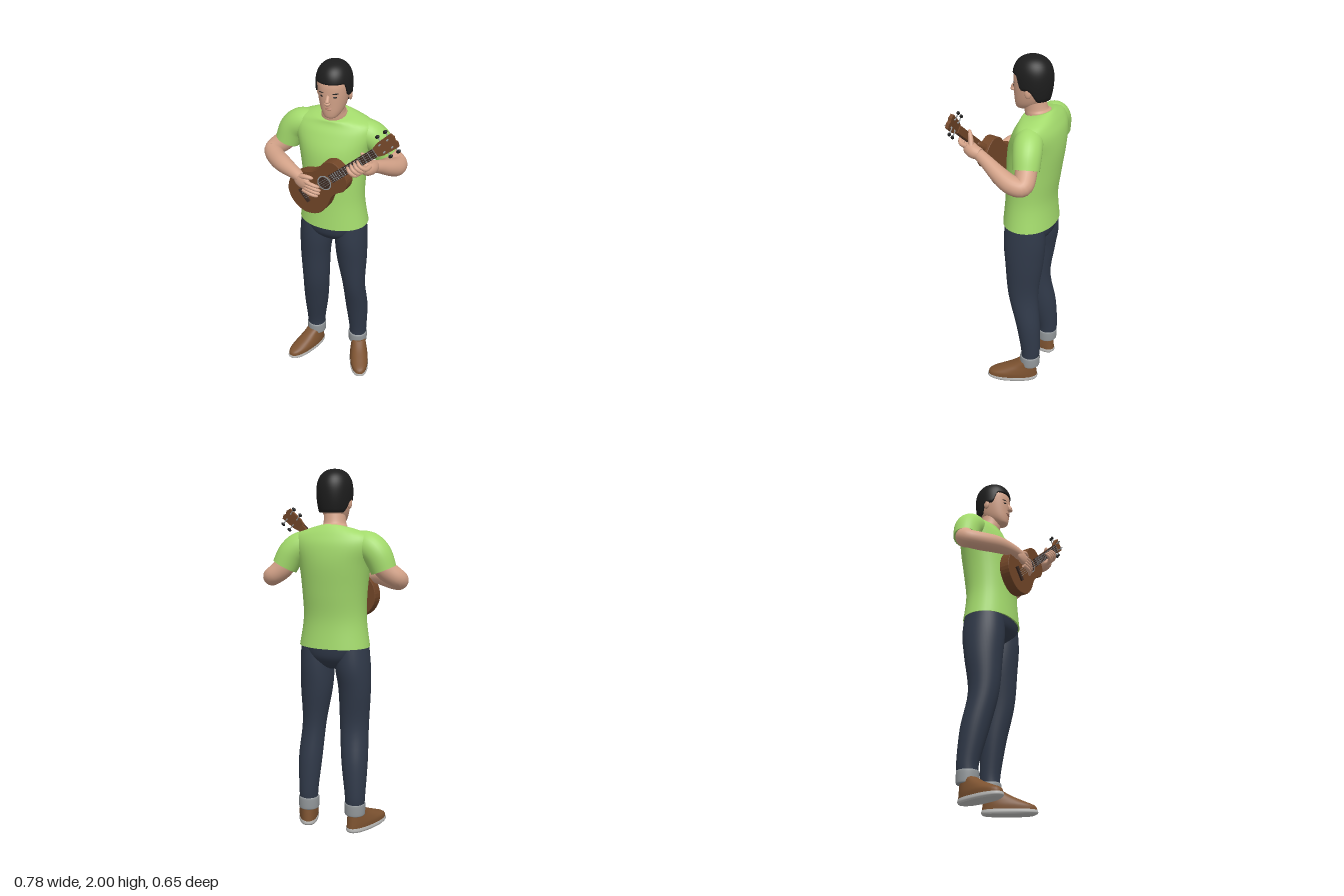
import * as THREE from 'three';

const paint = (name, color) => {
  const m = new THREE.MeshStandardMaterial({ color });
  m.name = name;
  return m;
};

// Catmull-Rom subdivision of equally long rows of numbers
function smooth(rows, per = 5) {
  const out = [], last = rows.length - 1;
  for (let i = 0; i < last; i++) {
    const [p, q, r, s] = [rows[Math.max(i - 1, 0)], rows[i], rows[i + 1], rows[Math.min(i + 2, last)]];
    for (let k = 0; k < per; k++) {
      const t = k / per;
      out.push(q.map((b, c) => b + 0.5 * t * (r[c] - p[c] + t * (2 * p[c] - 5 * b + 4 * r[c] - s[c] + t * (3 * (b - r[c]) + s[c] - p[c])))));
    }
  }
  out.push(rows[last]);
  return out;
}

// Skins a list of rings (arrays of Vector3) and caps both ends
function skin(rings) {
  const pos = [], idx = [], n = rings[0].length;
  rings.forEach(r => r.forEach(v => pos.push(v.x, v.y, v.z)));
  for (let i = 0; i < rings.length - 1; i++) for (let j = 0; j < n; j++) {
    const a = i * n + j, b = i * n + (j + 1) % n;
    idx.push(a, a + n, b, b, a + n, b + n);
  }
  [rings[0], rings[rings.length - 1]].forEach((ring, end) => {
    const base = pos.length / 3, c = new THREE.Vector3();
    ring.forEach(v => { pos.push(v.x, v.y, v.z); c.addScaledVector(v, 1 / n); });
    pos.push(c.x, c.y, c.z);
    for (let j = 0; j < n; j++) {
      const k = (j + 1) % n;
      idx.push(base + n, base + (end ? k : j), base + (end ? j : k));
    }
  });
  const g = new THREE.BufferGeometry();
  g.setAttribute('position', new THREE.Float32BufferAttribute(pos, 3));
  g.setIndex(idx);
  g.computeVertexNormals();
  return g;
}

// Stacked ellipses, bottom to top: [x, y, z, half width, half depth, yaw, forward tilt]
function loft(rows, power = 2, seg = 36) {
  const bend = v => Math.sign(v) * Math.abs(v) ** (2 / power);
  const full = rows.map(([x, y, z, a, b, yaw = 0, tilt = 0]) => [x, y, z, a, b, yaw, tilt]);
  return skin(smooth(full).map(([x, y, z, a, b, yaw, tilt]) => Array.from({ length: seg }, (_, j) => {
    const f = j / seg * Math.PI * 2, u = a * bend(Math.cos(f)), w = b * bend(Math.sin(f));
    return new THREE.Vector3(x + u * Math.cos(yaw) - w * Math.sin(yaw), y - w * tilt, z + u * Math.sin(yaw) + w * Math.cos(yaw));
  })));
}

// Round limb along [x, y, z, radius] points; tip rounds off the far end
function limb(points, tip = false, seg = 16) {
  const rows = smooth(points, 6), at = i => new THREE.Vector3(...rows[Math.min(Math.max(i, 0), rows.length - 1)].slice(0, 3));
  const N = new THREE.Vector3(0.31, 0.52, 0.79);
  return skin(rows.map((row, i) => {
    const T = at(i + 1).sub(at(i - 1)).normalize();
    N.addScaledVector(T, -N.dot(T)).normalize();
    const B = T.clone().cross(N), e = Math.max(0, (i / (rows.length - 1) - 0.75) / 0.25);
    const r = row[3] * (tip ? Math.sqrt(Math.max(0.01, 1 - e * e)) : 1);
    return Array.from({ length: seg }, (_, j) => {
      const f = j / seg * Math.PI * 2;
      return at(i).addScaledVector(N, r * Math.cos(f)).addScaledVector(B, -r * Math.sin(f));
    });
  }));
}

// Short-hair cap: level over the forehead, sideburns at the temples, low at the nape
function hairCap() {
  const rings = [], seg = 64;
  for (let i = 0; i <= 19; i++) {
    const t = Math.min(1, Math.max(0.02, (19 - i) / 18));
    rings.push(Array.from({ length: seg }, (_, j) => {
      const f = j / seg * Math.PI * 2, front = Math.sin(f);
      const edge = 1.835 + 0.072 * THREE.MathUtils.smoothstep(front, 0.3, 0.62) - 0.062 * THREE.MathUtils.smoothstep(-front, 0.1, 0.6);
      const y = 2 - (2 - edge) * (1 - Math.cos(t * Math.PI / 2));
      const d = (y - 1.88) / 0.12;
      const r = (d > 0 ? Math.max(0, 1 - d ** 2.4) ** (1 / 2.3) : 1 - 0.17 * d * d) * (i === 0 ? 0.86 : 1);
      return new THREE.Vector3(0.097 * r * Math.cos(f), y, 0.109 * r * front);
    }));
  }
  return skin(rings);
}

export function createModel() {
  const shirt = paint('shirt green', 0xa3da6c), denim = paint('denim', 0x303949), grey = paint('grey', 0x92979a),
    leather = paint('brown leather', 0x7c5230), sole = paint('sole', 0xbcbcba), flesh = paint('skin', 0xd4a389),
    black = paint('black hair', 0x1d1d1d), wood = paint('ukulele wood', 0x724628), dark = paint('dark wood', 0x3f2c24),
    lip = paint('lips', 0xb5806c);
  const model = new THREE.Group();
  const group = (name, parent = model) => {
    const g = new THREE.Group();
    g.name = name;
    parent.add(g);
    return g;
  };
  const add = (parent, name, geo, mat, x = 0, y = 0, z = 0) => {
    const m = new THREE.Mesh(geo, mat);
    m.name = name;
    m.position.set(x, y, z);
    parent.add(m);
    return m;
  };
  const box = (w, h, d) => new THREE.BoxGeometry(w, h, d);
  const ball = (a, b, c) => new THREE.SphereGeometry(1, 20, 14).scale(a, b, c);

  // Torso
  const Y = 0.42;
  add(model, 'shirt', loft([
    [0, 1.05, -0.11, 0.2, 0.147, Y], [-0.002, 1.2, -0.11, 0.178, 0.136, Y], [0, 1.35, -0.12, 0.182, 0.143, Y],
    [0, 1.5, -0.135, 0.2, 0.146, Y], [0.004, 1.6, -0.15, 0.228, 0.125, Y], [0.007, 1.655, -0.152, 0.212, 0.1, Y, 0.05],
    [0.003, 1.685, -0.145, 0.135, 0.085, Y, 0.15], [0, 1.695, -0.14, 0.08, 0.075, Y, 0.25]], 2.1), shirt);
  add(model, 'neck', loft([[0, 1.6, -0.145, 0.07, 0.06, Y], [0, 1.69, -0.138, 0.07, 0.07, Y, 0.2],
    [0, 1.72, -0.125, 0.06, 0.064, Y], [0, 1.79, -0.11, 0.057, 0.062, Y]]), flesh);

  // Trousers
  add(model, 'trouserSeat', loft([[0, 0.925, -0.112, 0.05, 0.05, Y], [0, 0.95, -0.112, 0.105, 0.09, Y],
    [0, 1, -0.11, 0.165, 0.128, Y], [0, 1.07, -0.11, 0.192, 0.141, Y]], 2.2), denim);
  add(model, 'rightLeg', loft([[-0.112, 0.15, -0.22, 0.054, 0.055], [-0.112, 0.22, -0.22, 0.058, 0.06],
    [-0.11, 0.4, -0.188, 0.074, 0.078], [-0.11, 0.6, -0.145, 0.081, 0.084], [-0.11, 0.8, -0.148, 0.09, 0.105],
    [-0.099, 0.94, -0.15, 0.099, 0.119, 0.2], [-0.092, 1.07, -0.147, 0.094, 0.112, 0.3]]), denim);
  add(model, 'leftLeg', loft([[0.148, 0.15, -0.112, 0.052, 0.054], [0.148, 0.22, -0.114, 0.055, 0.057],
    [0.137, 0.4, -0.097, 0.067, 0.071], [0.114, 0.6, -0.068, 0.068, 0.087], [0.1, 0.8, -0.072, 0.09, 0.108],
    [0.095, 0.94, -0.072, 0.095, 0.118, 0.2], [0.09, 1.07, -0.073, 0.092, 0.112, 0.3]]), denim);

  // Shoes with turned-up cuffs
  [['right', -0.18, -0.15, 0.78, -0.112, -0.22], ['left', 0.151, -0.008, 0.02, 0.148, -0.112]].forEach(([side, x, z, yaw, ax, az]) => {
    const foot = group(side + 'Shoe');
    foot.position.set(x, 0, z);
    foot.rotation.y = -yaw;
    add(foot, 'sole', loft([[0, 0, -0.005, 0.053, 0.14], [0, 0.01, 0, 0.058, 0.152], [0, 0.025, 0, 0.057, 0.151]], 2.4), sole);
    add(foot, 'upper', loft([[0, 0.023, 0, 0.055, 0.149], [0, 0.048, -0.004, 0.056, 0.142], [0, 0.072, -0.03, 0.052, 0.113],
      [0, 0.1, -0.062, 0.046, 0.078], [0, 0.13, -0.09, 0.043, 0.053]], 2.3), leather);
    add(foot, 'laceFlap', ball(0.026, 0.01, 0.035), leather, 0, 0.08, 0.025).rotation.x = 0.6;
    add(model, side + 'Cuff', loft([[ax, 0.1, az, 0.054, 0.055], [ax, 0.109, az, 0.058, 0.059],
      [ax, 0.16, az, 0.059, 0.06], [ax, 0.17, az, 0.055, 0.056]]), grey);
  });

  // Arms
  add(model, 'rightSleeve', limb([[-0.08, 1.615, -0.175, 0.055], [-0.165, 1.605, -0.22, 0.076], [-0.22, 1.56, -0.245, 0.077], [-0.256, 1.478, -0.252, 0.07]], false, 28), shirt);
  add(model, 'rightArm', limb([[-0.225, 1.54, -0.245, 0.057], [-0.27, 1.475, -0.252, 0.057], [-0.338, 1.425, -0.24, 0.05],
    [-0.322, 1.415, -0.165, 0.051], [-0.28, 1.418, -0.075, 0.048], [-0.225, 1.415, 0.005, 0.036], [-0.185, 1.405, 0.05, 0.03]], false, 24), flesh);
  add(model, 'leftSleeve', limb([[0.08, 1.61, -0.12, 0.055], [0.17, 1.597, -0.09, 0.076], [0.23, 1.555, -0.082, 0.077], [0.272, 1.482, -0.077, 0.071]], false, 28), shirt);
  add(model, 'leftArm', limb([[0.235, 1.54, -0.08, 0.057], [0.285, 1.47, -0.077, 0.057], [0.342, 1.425, -0.06, 0.051],
    [0.328, 1.432, 0, 0.051], [0.284, 1.465, 0.062, 0.045], [0.23, 1.505, 0.122, 0.036], [0.19, 1.53, 0.165, 0.031]], false, 24), flesh);

  // Head
  const head = group('head');
  head.position.z = -0.108;
  head.rotation.y = -0.38;
  add(head, 'face', loft([[0, 1.708, 0.055, 0.018, 0.018], [0, 1.716, 0.05, 0.036, 0.04], [0, 1.745, 0.025, 0.058, 0.072],
    [0, 1.79, 0.01, 0.073, 0.09], [0, 1.85, 0.003, 0.083, 0.1], [0, 1.9, 0, 0.085, 0.1], [0, 1.95, 0, 0.068, 0.08], [0, 1.975, 0, 0.04, 0.05]], 2.15), flesh);
  add(head, 'hair', hairCap(), black);
  add(head, 'noseBridge', limb([[0, 1.85, 0.09, 0.009], [0, 1.825, 0.106, 0.011], [0, 1.806, 0.117, 0.013]], true), flesh);
  add(head, 'noseTip', ball(0.017, 0.011, 0.015), flesh, 0, 1.804, 0.111);
  add(head, 'upperLip', ball(0.023, 0.004, 0.01), lip, 0, 1.775, 0.094);
  add(head, 'lowerLip', ball(0.019, 0.005, 0.01), lip, 0, 1.767, 0.092);
  for (const s of [-1, 1]) {
    add(head, 'eye', ball(0.012, 0.006, 0.005), black, s * 0.034, 1.838, 0.092).rotation.y = s * 0.35;
    add(head, 'eyebrow', ball(0.019, 0.004, 0.004), black, s * 0.036, 1.857, 0.092).rotation.y = s * 0.4;
    add(head, 'ear', ball(0.011, 0.029, 0.018), flesh, s * 0.086, 1.822, -0.006).rotation.y = s * 0.3;
  }

  // Playing frame: x along the instrument's plane, z out of its face
  const frame = group('playing');
  frame.position.set(-0.147, 1.315, 0.06);
  frame.rotation.y = -0.57;
  const uke = group('ukulele', frame);
  uke.rotation.z = -0.84;

  // Ukulele body
  const half = [[0.075, -0.102], [0.122, -0.03], [0.115, 0.045], [0.083, 0.115], [0.08, 0.165], [0.088, 0.212], [0.063, 0.262]];
  const outline = [[0, -0.125], ...half, [0, 0.279], ...half.map(([x, y]) => [-x, y]).reverse()].map(p => new THREE.Vector3(p[0], p[1], 0));
  const shape = new THREE.Shape(new THREE.CatmullRomCurve3(outline, true).getPoints(64).slice(0, -1).map(p => new THREE.Vector2(p.x, p.y)));
  add(uke, 'body', new THREE.ExtrudeGeometry(shape, { depth: 0.054, bevelSize: 0.003, bevelThickness: 0.003, bevelSegments: 2 }), wood, 0, 0, -0.057);
  const disc = r => new THREE.CylinderGeometry(r, r, 0.002, 32).rotateX(Math.PI / 2);
  add(uke, 'rosette', disc(0.042), grey, 0, 0.138, 0.001);
  add(uke, 'soundHole', disc(0.035), dark, 0, 0.138, 0.002);
  add(uke, 'bridge', box(0.085, 0.022, 0.01), dark, 0, -0.03, 0.005);

  // Neck, frets and strings
  add(uke, 'neck', box(0.04, 0.27, 0.02), wood, 0, 0.405, -0.01);
  add(uke, 'neckHeel', limb([[0, 0.265, -0.03, 0.022], [0, 0.3, -0.022, 0.019], [0, 0.34, -0.012, 0.012]], true), wood);
  add(uke, 'fretboard', box(0.046, 0.345, 0.008), dark, 0, 0.3675, 0.004);
  for (let i = 0; i < 14; i++) add(uke, 'fret', box(0.046, 0.002, 0.002), grey, 0, 0.54 - 0.335 * (1 - 0.5 ** (i / 8)) / 0.7, 0.009);
  for (let i = 0; i < 4; i++) add(uke, 'string', box(0.0015, 0.57, 0.0015), grey, -0.0165 + i * 0.011, 0.255, 0.012);

  // Headstock leaning back, with four tuners
  const headstock = group('headstock', uke);
  headstock.position.set(0, 0.535, 0);
  headstock.rotation.x = -0.2;
  const plate = new THREE.Shape([[-0.023, 0], [0.023, 0], [0.034, 0.035], [0.038, 0.125], [0.015, 0.133], [0, 0.126], [-0.015, 0.133], [-0.038, 0.125], [-0.034, 0.035]].map(p => new THREE.Vector2(...p)));
  add(headstock, 'plate', new THREE.ExtrudeGeometry(plate, { depth: 0.018, bevelEnabled: false }), wood, 0, 0, -0.012);
  for (const s of [-1, 1]) for (const y of [0.05, 0.1]) {
    add(headstock, 'tunerPost', new THREE.CylinderGeometry(0.004, 0.004, 0.04, 10).rotateX(Math.PI / 2), grey, s * 0.021, y, 0.002);
    add(headstock, 'tunerShaft', new THREE.CylinderGeometry(0.003, 0.003, 0.035, 8).rotateZ(Math.PI / 2), grey, s * 0.038, y, -0.018);
    add(headstock, 'tunerKnob', ball(0.009, 0.013, 0.008), black, s * 0.058, y, -0.018);
  }

  // Strumming hand
  const right = group('rightHand', frame);
  add(right, 'palm', ball(0.052, 0.04, 0.019), flesh, -0.022, 0.075, 0.024).rotation.z = -0.3;
  for (let i = 0; i < 4; i++) {
    const v = 0.088 - 0.02 * i, reach = [0, 0.008, 0.004, -0.01][i];
    add(right, 'finger', limb([[-0.015, v, 0.026, 0.012], [0.02, v - 0.006, 0.032, 0.011], [0.055 + reach, v - 0.014, 0.028, 0.01], [0.08 + reach, v - 0.024, 0.013, 0.008]], true, 12), flesh);
  }
  add(right, 'thumb', limb([[-0.045, 0.1, 0.02, 0.014], [0, 0.113, 0.028, 0.013], [0.045, 0.11, 0.018, 0.009]], true, 12), flesh);

  // Fretting hand wrapped round the neck
  const left = group('leftHand', uke);
  add(left, 'palm', limb([[0.064, 0.4, -0.1, 0.031], [0.062, 0.405, -0.065, 0.037], [0.052, 0.405, -0.035, 0.038], [0.044, 0.4, -0.005, 0.03]], true, 20), flesh);
  for (let i = 0; i < 4; i++) {
    const t = 0.355 + 0.026 * i, b = 0.385 + 0.016 * i;
    add(left, 'finger', limb([[0.05, b, -0.03, 0.013], [0.046, t, 0.012, 0.012], [0.016, t - 0.004, 0.03, 0.01], [-0.016, t - 0.008, 0.016, 0.008]], true, 12), flesh);
  }
  add(left, 'thumb', limb([[0.05, 0.425, -0.05, 0.016], [0.005, 0.44, -0.034, 0.013], [-0.034, 0.45, -0.012, 0.01]], true, 12), flesh);

  return model;
}
